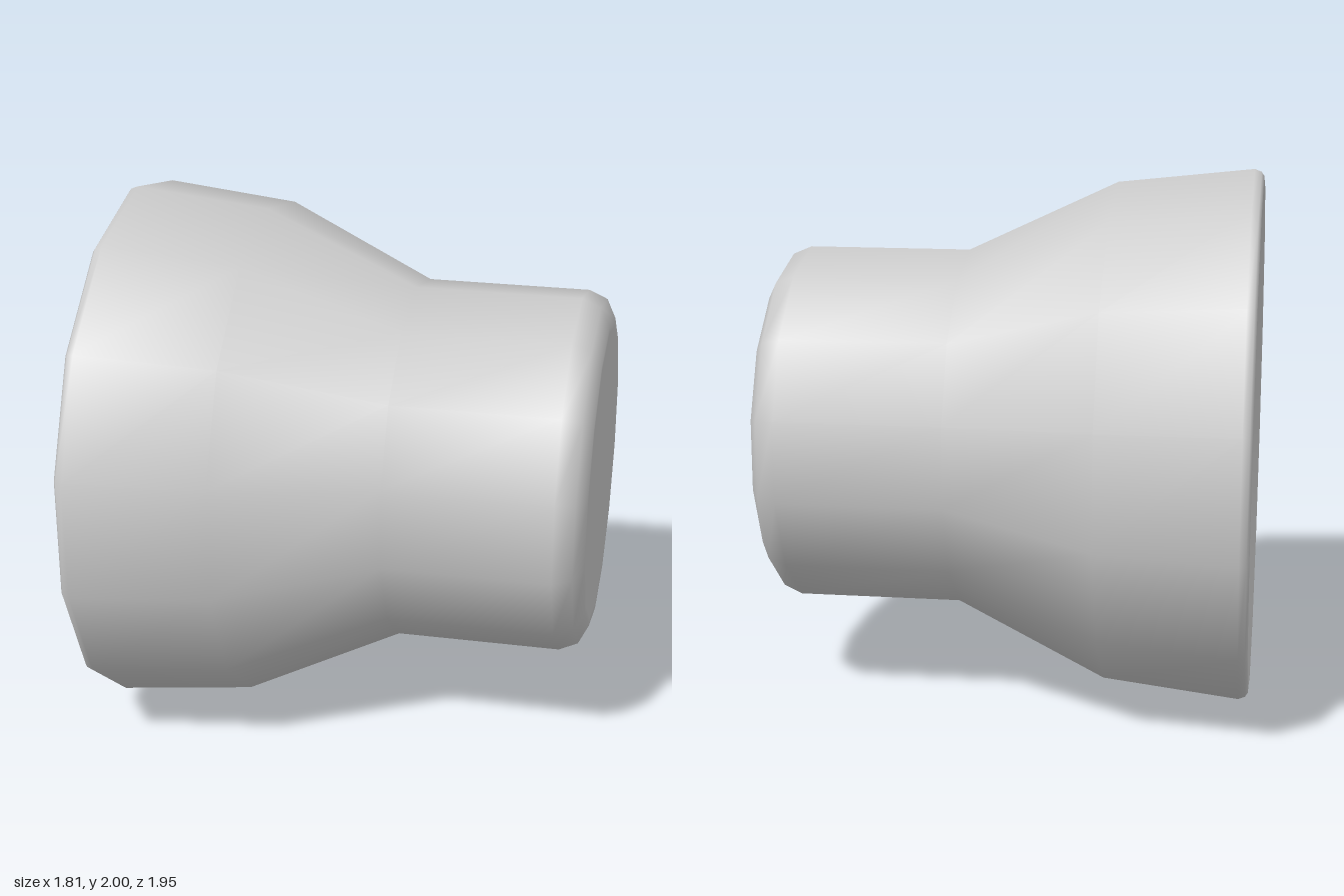
import * as THREE from 'three';

const SIDES = 14;
const DISH_RADIUS = 0.96, DISH_DEPTH = 0.18, DISH_RINGS = 6;

// [position along x, radius] from the wide rim to the centre of the narrow end
const BODY = [
  [-0.905, 0.975], [-0.895, 0.99], [-0.87, 1], [-0.37, 0.945],
  [0.19, 0.68], [0.8, 0.68], [0.87, 0.65], [0.905, 0.58], [0.905, 0.55], [0.905, 0],
];

export function createModel() {
  const group = new THREE.Group();
  group.name = 'reducer';

  // Shallow hollow in the wide end, from its centre out to the rim
  const dish = [];
  for (let i = 0; i <= DISH_RINGS; i++) {
    const t = i / DISH_RINGS;
    dish.push([-0.905 + DISH_DEPTH * (1 - t * t), DISH_RADIUS * t]);
  }

  // One turned skin: lathe about y, laid over along x, with a corner at the top
  const points = [...dish, ...BODY].map(([x, r]) => new THREE.Vector2(r, x));
  const geometry = new THREE.LatheGeometry(points, SIDES, Math.PI / 2).rotateZ(-Math.PI / 2);
  const body = new THREE.Mesh(geometry, new THREE.MeshStandardMaterial({ color: 0xcccccc }));
  body.name = 'body';
  body.position.y = 1;
  group.add(body);

  return group;
}
